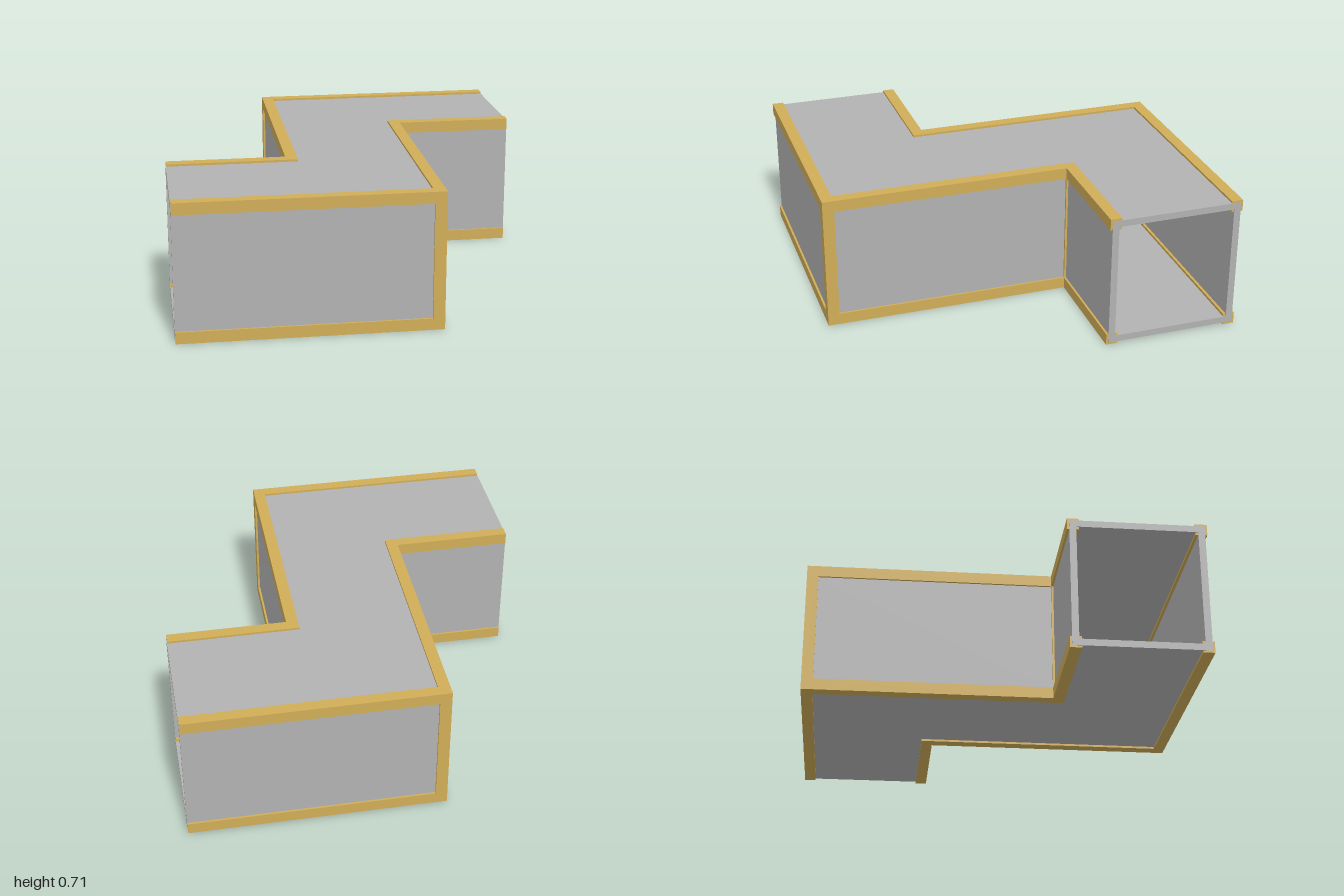
import * as THREE from 'three';

const H = 0.71;            // overall height
const T = 0.06;            // frame bar thickness
const P0 = 0.011, P1 = 0.046; // panel faces, measured inward from the frame's outside
const END = 0.965;         // half length to the open ends

// Plan of one side of the duct as [x, z], moved inward by d
const sidePath = (d, end) => [
  [-end, 0.293 + d], [-0.353 + d, 0.293 + d], [-0.353 + d, -1 + d], [end, -1 + d],
];
const turned = (path) => path.map(([x, z]) => [-x, -z]);

// Upright prism over a plan outline, from y0 to y1
function prism(name, outline, y0, y1, material) {
  const shape = new THREE.Shape(outline.map(([x, z]) => new THREE.Vector2(x, z)));
  const geometry = new THREE.ExtrudeGeometry(shape, { depth: y1 - y0, bevelEnabled: false });
  geometry.rotateX(Math.PI / 2).translate(0, y1, 0);
  const mesh = new THREE.Mesh(geometry, material);
  mesh.name = name;
  return mesh;
}

// Plan of a band that follows one side between two inward offsets
const band = (d0, d1, end) => [...sidePath(d0, end), ...sidePath(d1, end).reverse()];

export function createModel() {
  const model = new THREE.Group();
  model.name = 'zShapedDuct';
  const gold = new THREE.MeshStandardMaterial({ color: 0xd0ad58 });
  const grey = new THREE.MeshStandardMaterial({ color: 0xb2b2b2 });
  const panelEnd = END + 0.002;

  // Roof and floor panels
  const plan = [...sidePath(P0, panelEnd), ...turned(sidePath(P0, panelEnd))];
  model.add(prism('floorPanel', plan, P0, P1, grey));
  model.add(prism('roofPanel', plan, H - P1, H - P0, grey));

  // The two sides are the same, turned half round
  for (const [side, angle] of [['back', 0], ['front', Math.PI]]) {
    const group = new THREE.Group();
    group.name = side + 'Side';
    group.rotation.y = angle;

    // Recessed wall panel following the bends
    group.add(prism('wallPanel', band(P0, P1, panelEnd), P1, H - P1, grey));

    // Lower and upper frame rails
    group.add(prism('lowerRail', band(0, T, END), 0, T, gold));
    group.add(prism('upperRail', band(0, T, END), H - T, H, gold));

    // Upright posts at the inner and outer bend
    for (const [name, z] of [['innerCornerPost', 0.293], ['outerCornerPost', -1]]) {
      const post = new THREE.Mesh(new THREE.BoxGeometry(T, H - 2 * T, T), gold);
      post.name = name;
      post.position.set(-0.353 + T / 2, H / 2, z + T / 2);
      group.add(post);
    }
    model.add(group);
  }
  return model;
}
